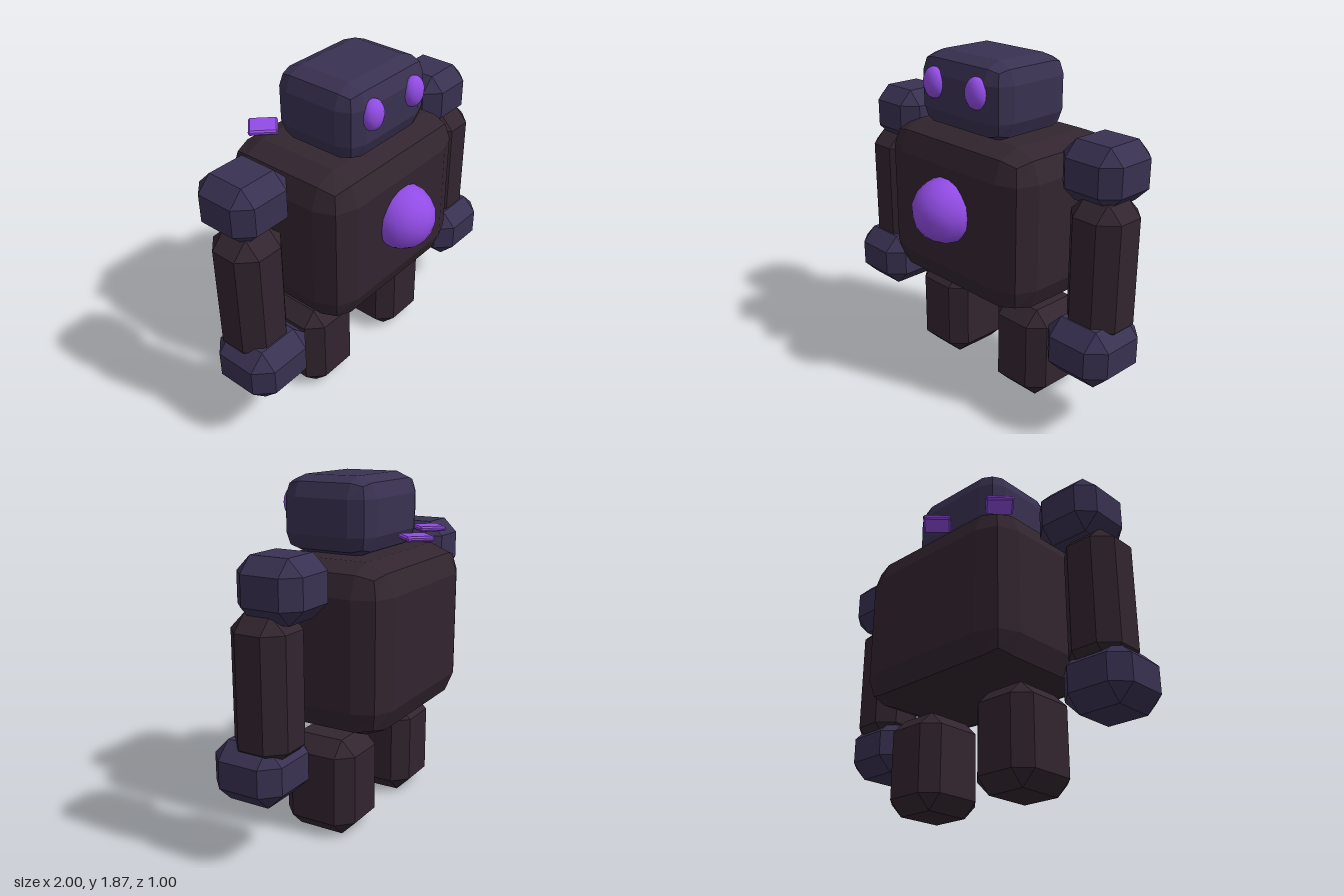
import * as THREE from 'three';
import { RoundedBoxGeometry } from 'three/addons/geometries/RoundedBoxGeometry.js';
import { ConvexGeometry } from 'three/addons/geometries/ConvexGeometry.js';

const material = (name, color) => {
  const m = new THREE.MeshStandardMaterial({ color });
  m.name = name;
  return m;
};

// Box with a single flat bevel on every edge and corner
function chamferBox(w, h, d, c) {
  const points = [];
  const [x, y, z] = [w / 2, h / 2, d / 2];
  for (const sx of [-1, 1]) for (const sy of [-1, 1]) for (const sz of [-1, 1]) {
    points.push(
      new THREE.Vector3(sx * x, sy * (y - c), sz * (z - c)),
      new THREE.Vector3(sx * (x - c), sy * y, sz * (z - c)),
      new THREE.Vector3(sx * (x - c), sy * (y - c), sz * z)
    );
  }
  return new ConvexGeometry(points);
}

// Box with a two-step faceted bevel
function facetBox(w, h, d, r) {
  const g = new RoundedBoxGeometry(w, h, d, 1, r);
  g.computeVertexNormals();
  return g;
}

export function createModel() {
  const stone = material('dark stone', 0x32252f);
  const plate = material('slate plate', 0x393151);
  const crystal = material('purple crystal', 0x924ce6);

  const model = new THREE.Group();
  model.name = 'golem';
  const add = (name, geometry, mat, x, y, z) => {
    const mesh = new THREE.Mesh(geometry, mat);
    mesh.name = name;
    mesh.position.set(x, y, z);
    model.add(mesh);
    return mesh;
  };

  // Torso, head and glowing core
  add('torso', facetBox(1.06, 0.9, 0.8, 0.16), stone, 0, 1.02, -0.08);
  add('head', facetBox(0.64, 0.41, 0.53, 0.11), plate, 0, 1.665, -0.025);
  add('core', new THREE.IcosahedronGeometry(0.18, 2), crystal, 0, 1.07, 0.32);

  // Paired limbs and eyes
  for (const [side, s] of [['left', 1], ['right', -1]]) {
    add(side + 'Leg', chamferBox(0.375, 0.535, 0.42, 0.08), stone, s * 0.32, 0.2675, -0.08);
    add(side + 'Shoulder', chamferBox(0.37, 0.315, 0.372, 0.08), plate, s * 0.745, 1.391, -0.079);
    add(side + 'Arm', chamferBox(0.317, 0.75, 0.317, 0.085), stone, s * 0.8, 0.905, -0.023);
    add(side + 'Hand', chamferBox(0.4, 0.315, 0.4, 0.085), plate, s * 0.8, 0.483, 0.028);
    const eye = add(side + 'Eye', new THREE.SphereGeometry(1, 16, 12), crystal, s * 0.162, 1.715, 0.24);
    eye.scale.set(0.067, 0.084, 0.052);
  }

  // Flat diamond shards hovering above the back
  for (const [name, x, z] of [['backShard', 0, -0.405], ['shoulderShard', -0.378, -0.3]]) {
    add(name, chamferBox(0.152, 0.028, 0.152, 0.009), crystal, x, 1.552, z).rotation.y = Math.PI / 4;
  }
  return model;
}
